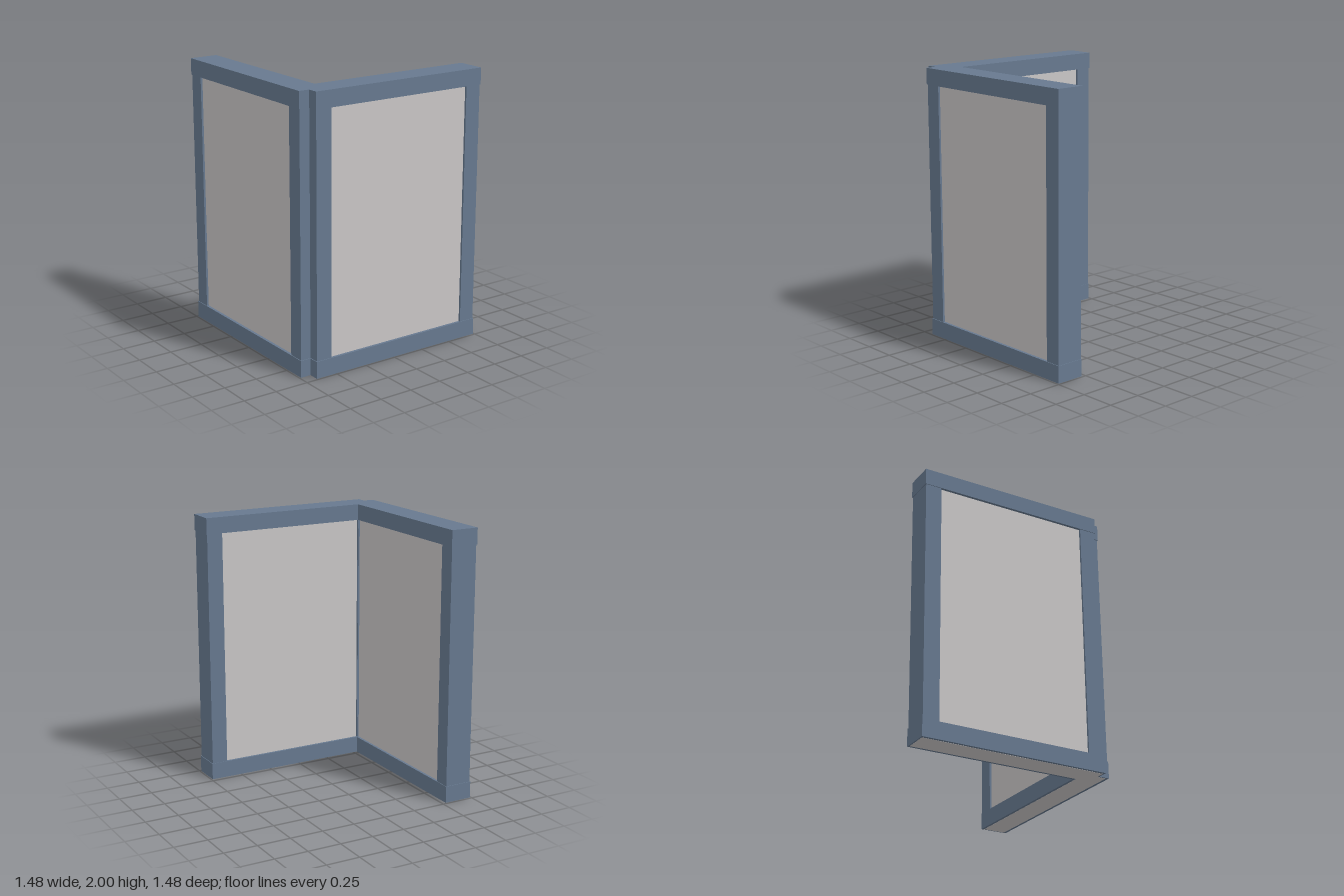
import * as THREE from 'three';

const frameBlue = new THREE.MeshStandardMaterial({ color: 0x67798f });
frameBlue.name = 'frame blue';
const paneGrey = new THREE.MeshStandardMaterial({ color: 0xc9c6c6 });
paneGrey.name = 'pane grey';

// Box given by its minimum and maximum corners
function block(name, material, min, max) {
  const size = max.map((v, i) => v - min[i]);
  const mesh = new THREE.Mesh(new THREE.BoxGeometry(...size), material);
  mesh.position.set(...min.map((v, i) => (v + max[i]) / 2));
  mesh.name = name;
  return mesh;
}

// One framed wall along x, its outer face towards +z
function wallPanel(name) {
  const panel = new THREE.Group();
  panel.name = name;
  panel.add(
    block('bottomRail', frameBlue, [-0.74, 0.001, 0.528], [0.662, 0.125, 0.74]),
    block('topRail', frameBlue, [-0.74, 1.88, 0.528], [0.662, 2, 0.74]),
    block('outerPost', frameBlue, [-0.735, 0.125, 0.532], [-0.615, 1.88, 0.735]),
    block('cornerPost', frameBlue, [0.535, 0.125, 0.532], [0.657, 1.88, 0.735]),
    // Pane core, reaching down through the bottom rail
    block('pane', paneGrey, [-0.73, 0, 0.547], [0.652, 1.94, 0.72])
  );
  return panel;
}

export function createModel() {
  const model = new THREE.Group();
  model.name = 'cornerWall';

  const frontWall = wallPanel('frontWall');

  // The side wall is the front wall mirrored across the corner diagonal:
  // a quarter turn, then its boxes are flipped end for end
  const sideWall = wallPanel('sideWall');
  sideWall.children.forEach((part) => {
    part.position.x *= -1;
  });
  sideWall.rotation.y = Math.PI / 2;

  model.add(frontWall, sideWall);
  return model;
}
